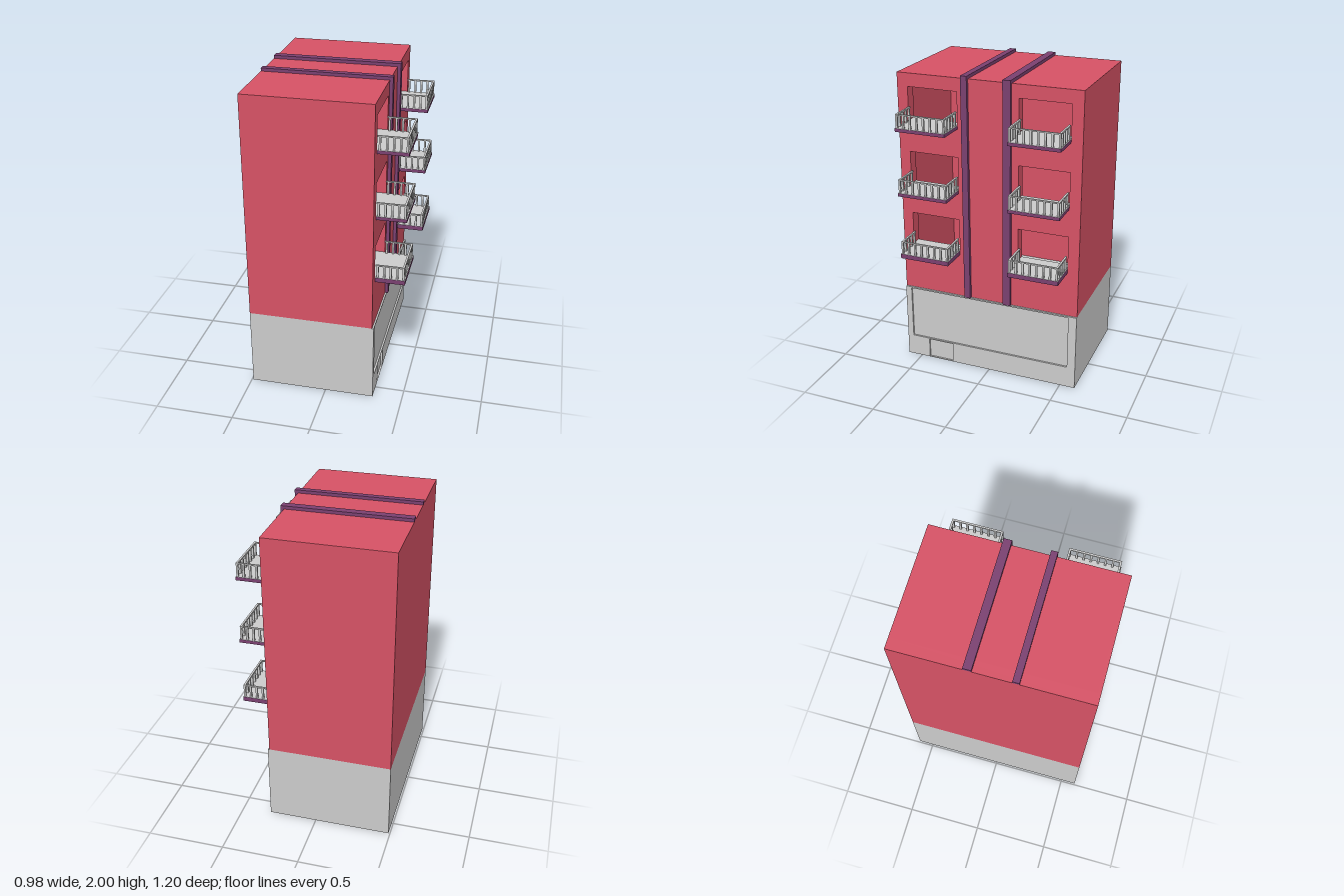
import * as THREE from 'three';

const paint = (color) => new THREE.MeshStandardMaterial({ color });

export function createModel() {
  const model = new THREE.Group();
  const grey = paint(0xcccccc), red = paint(0xd65265), purple = paint(0x7a4070);

  // Box given by its min and max corners
  const box = (parent, name, material, [x0, y0, z0], [x1, y1, z1]) => {
    const mesh = new THREE.Mesh(new THREE.BoxGeometry(x1 - x0, y1 - y0, z1 - z0), material);
    mesh.position.set((x0 + x1) / 2, (y0 + y1) / 2, (z0 + z1) / 2);
    mesh.name = name;
    parent.add(mesh);
  };

  // Wall facing +x with rectangular holes, each [z0, z1, y0, y1]
  const wall = (name, material, x0, x1, y0, y1, holes) => {
    const trace = (path, [za, zb, ya, yb]) => {
      path.moveTo(-zb, ya);
      path.lineTo(-za, ya);
      path.lineTo(-za, yb);
      path.lineTo(-zb, yb);
      path.closePath();
      return path;
    };
    const shape = trace(new THREE.Shape(), [-0.6, 0.6, y0, y1]);
    holes.forEach((h) => shape.holes.push(trace(new THREE.Path(), h)));
    const geometry = new THREE.ExtrudeGeometry(shape, { depth: x1 - x0, bevelEnabled: false });
    geometry.rotateY(Math.PI / 2).translate(x0, 0, 0);
    const mesh = new THREE.Mesh(geometry, material);
    mesh.name = name;
    model.add(mesh);
  };

  // Ground floor with a sunken panel and door
  box(model, 'groundFloor', grey, [-0.49, 0, -0.6], [0.3, 0.52, 0.6]);
  wall('groundFloorFacade', grey, 0.3, 0.312, 0, 0.517, [
    [-0.545, 0.56, 0.145, 0.508],
    [0.265, 0.44, 0.004, 0.138],
  ]);

  // Hollow upper storeys
  box(model, 'rearWall', red, [-0.49, 0.52, -0.6], [-0.42, 1.98, 0.6]);
  for (const s of [-1, 1]) {
    box(model, 'endWall', red, [-0.42, 0.52, Math.min(s * 0.58, s * 0.6)],
      [0.23, 1.98, Math.max(s * 0.58, s * 0.6)]);
  }
  box(model, 'roof', red, [-0.42, 1.94, -0.58], [0.23, 1.98, 0.58]);

  // Storeys: slab bottom, slab top, rail top, opening top
  const storeys = [
    [0.815, 0.845, 0.93, 1.06],
    [1.24, 1.262, 1.35, 1.477],
    [1.66, 1.682, 1.77, 1.895],
  ];
  const bays = [[0.2, 0.53], [-0.527, -0.2]];
  const openings = storeys.flatMap(([y0, , , y1]) => bays.map(([z0, z1]) => [z0, z1, y0, y1]));
  wall('balconyWall', red, 0.23, 0.302, 0.52, 1.98, openings);

  // Balconies with slab, floor, posts and handrails
  for (const [y0, y1, yRail] of storeys) {
    for (const [z0, z1] of bays) {
      const balcony = new THREE.Group();
      balcony.name = 'balcony';
      model.add(balcony);
      box(balcony, 'slab', purple, [0.24, y0, z0], [0.487, y1 - 0.001, z1]);
      box(balcony, 'floor', grey, [0.24, y1 - 0.001, z0], [0.487, y1, z1]);
      const w = 0.012, xOut = 0.482, zA = z0 + 0.004, zB = z1 - 0.004;
      const post = (x, z) => box(balcony, 'post', grey, [x - w / 2, y1, z - w / 2],
        [x + w / 2, yRail - 0.008, z + w / 2]);
      for (let i = 0; i <= 7; i++) post(xOut - w / 2, THREE.MathUtils.lerp(zA + w / 2, zB - w / 2, i / 7));
      for (const x of [0.316, 0.357, 0.397, 0.437]) {
        post(x, zA + w / 2);
        post(x, zB - w / 2);
      }
      const yLow = yRail - 0.008;
      box(balcony, 'frontRail', grey, [xOut - w, yLow, zA], [xOut, yRail, zB]);
      box(balcony, 'sideRail', grey, [0.302, yLow, zA], [xOut - w, yRail, zA + w]);
      box(balcony, 'sideRail', grey, [0.302, yLow, zB - w], [xOut - w, yRail, zB]);
    }
  }

  // Bands running over the roof and down the balcony side
  for (const [z0, z1] of [[0.125, 0.166], [-0.155, -0.104]]) {
    box(model, 'roofBand', purple, [-0.49, 1.98, z0], [0.302, 2, z1]);
    box(model, 'wallBand', purple, [0.302, 0.52, z0], [0.323, 2, z1]);
  }

  // Small ledge beside the middle balcony
  box(model, 'ledge', grey, [0.3, 1.24, -0.2], [0.308, 1.262, -0.155]);
  return model;
}
